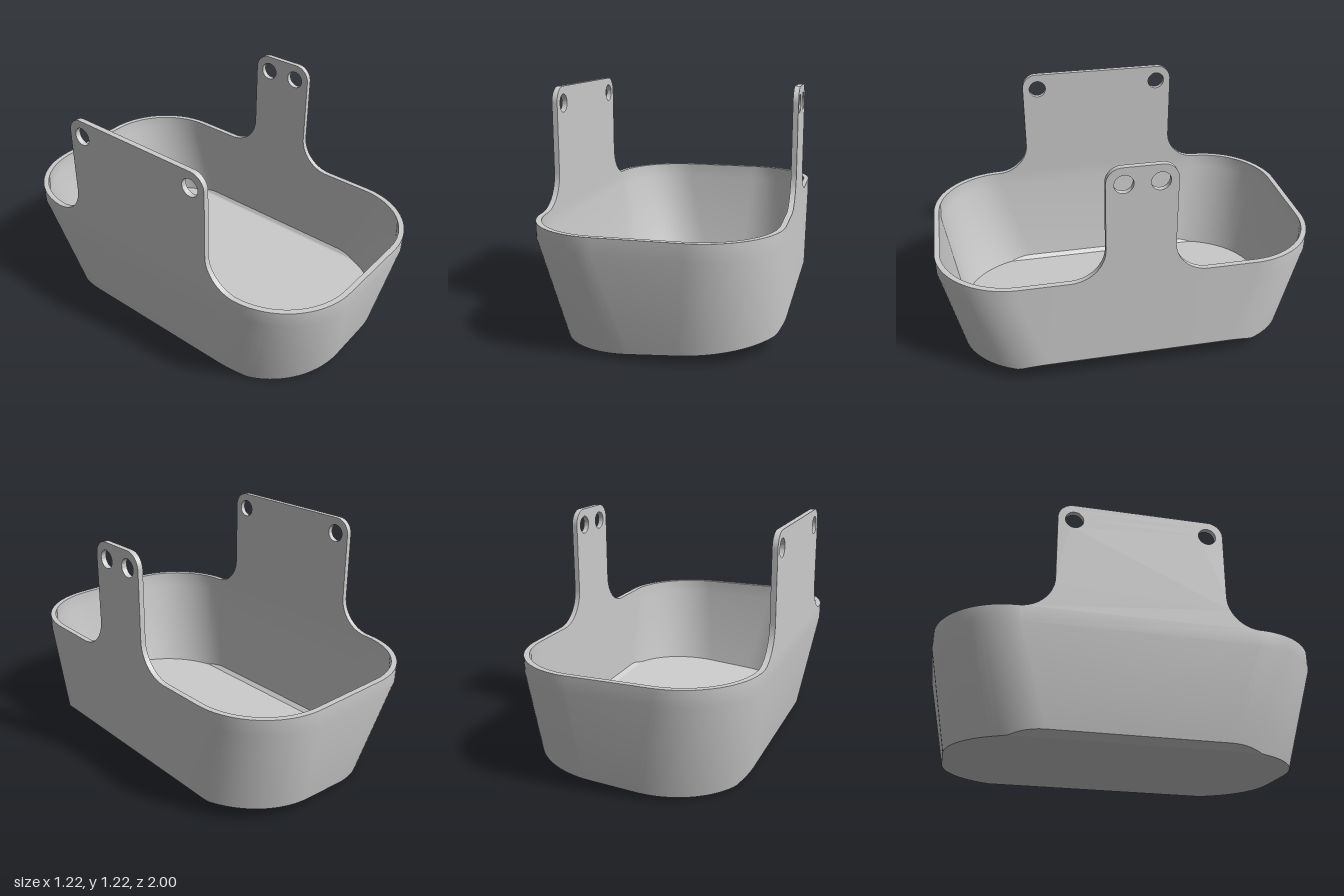
import * as THREE from 'three';
import { toCreasedNormals } from 'three/addons/utils/BufferGeometryUtils.js';

const N = 24;            // segments per rounded corner
const COUNT = 4 * (N + 1);
const WALL = 0.028;
const SHOULDER = 0.53, RIM = 0.612;
const material = new THREE.MeshStandardMaterial({ color: 0xcccccc });

// Underside height: sloped floor with a bevel along each long side.
function floorHeight(x, lift) {
  return Math.max(
    0.038 + 0.0765 * x + lift,
    0.083 + 1.167 * (x - 0.58) + lift * 1.53,
    0.001 + 0.714 * (-0.485 - x) + lift * 1.23
  );
}

// Point i of the rounded outline at height y, moved inwards by inset.
function outlinePoint(i, y, inset) {
  const t = Math.max(0, (SHOULDER - y) / (SHOULDER - 0.035)); // taper below the shoulder
  const k = Math.floor(i / (N + 1));
  const a = (k + (i % (N + 1)) / N) * Math.PI / 2;
  const r = 0.4 + 0.05 * t;
  const cx = k === 0 || k === 3 ? 0.61 - r : -0.61 + 0.083 * t + r;
  const cz = (k < 2 ? 1 : -1) * (1 - 0.1 * t - r);
  return [cx + (r - inset) * Math.cos(a), y, cz + (r - inset) * Math.sin(a)];
}

// Where the wall meets the sloped floor.
function footPoint(i, inset, lift) {
  let y = 0.06;
  for (let n = 0; n < 12; n++) y = floorHeight(outlinePoint(i, y, inset)[0], lift);
  return outlinePoint(i, y, inset);
}

function createTray() {
  // Rings run up the outside, over the rim and down the inside.
  const rings = [
    i => footPoint(i, 0, 0),
    i => outlinePoint(i, SHOULDER, 0),
    i => outlinePoint(i, RIM, 0),
    i => outlinePoint(i, RIM, WALL),
    i => outlinePoint(i, SHOULDER, WALL),
    i => footPoint(i, WALL, 0.03)
  ];
  const positions = [], index = [];
  for (const ring of rings) {
    for (let i = 0; i < COUNT; i++) positions.push(...ring(i));
  }
  for (let j = 0; j < rings.length - 1; j++) {
    for (let i = 0; i < COUNT; i++) {
      const a = j * COUNT + i, b = j * COUNT + (i + 1) % COUNT;
      index.push(a, a + COUNT, b, b, a + COUNT, b + COUNT);
    }
  }
  // Underside and inner floor: strips joining mirrored outline points.
  const top = (rings.length - 1) * COUNT;
  for (let i = 0; i < 2 * N + 1; i++) {
    const a = i, b = i + 1, c = COUNT - 1 - i, d = COUNT - 2 - i;
    index.push(a, b, c, b, d, c);
    index.push(top + a, top + c, top + b, top + b, top + c, top + d);
  }
  const geometry = new THREE.BufferGeometry();
  geometry.setAttribute('position', new THREE.Float32BufferAttribute(positions, 3));
  geometry.setIndex(index);
  const mesh = new THREE.Mesh(toCreasedNormals(geometry, 0.35), material);
  mesh.name = 'tray';
  return mesh;
}

// Upright hanging plate with flared foot, rounded top and two holes.
function createTab(name, half, holeZ, x) {
  const top = 1.225, flare = 0.175, r = 0.08;
  const shape = new THREE.Shape();
  shape.moveTo(-half - flare, RIM);
  shape.lineTo(half + flare, RIM);
  shape.absarc(half + flare, RIM + flare, flare, -Math.PI / 2, -Math.PI, true);
  shape.absarc(half - r, top - r, r, 0, Math.PI / 2, false);
  shape.absarc(-half + r, top - r, r, Math.PI / 2, Math.PI, false);
  shape.absarc(-half - flare, RIM + flare, flare, 0, -Math.PI / 2, true);
  for (const s of [-1, 1]) {
    const hole = new THREE.Path();
    hole.absarc(s * holeZ, 1.138, 0.047, 0, Math.PI * 2, true);
    shape.holes.push(hole);
  }
  const geometry = new THREE.ExtrudeGeometry(shape, { depth: WALL, bevelEnabled: false, curveSegments: 20 });
  geometry.rotateY(Math.PI / 2);
  geometry.translate(x, 0, 0);
  const mesh = new THREE.Mesh(toCreasedNormals(geometry, 0.5), material);
  mesh.name = name;
  return mesh;
}

export function createModel() {
  const group = new THREE.Group();
  group.name = 'hangingTray';
  group.add(
    createTray(),
    createTab('wideTab', 0.437, 0.352, -0.61),
    createTab('narrowTab', 0.174, 0.088, 0.61 - WALL)
  );
  return group;
}
